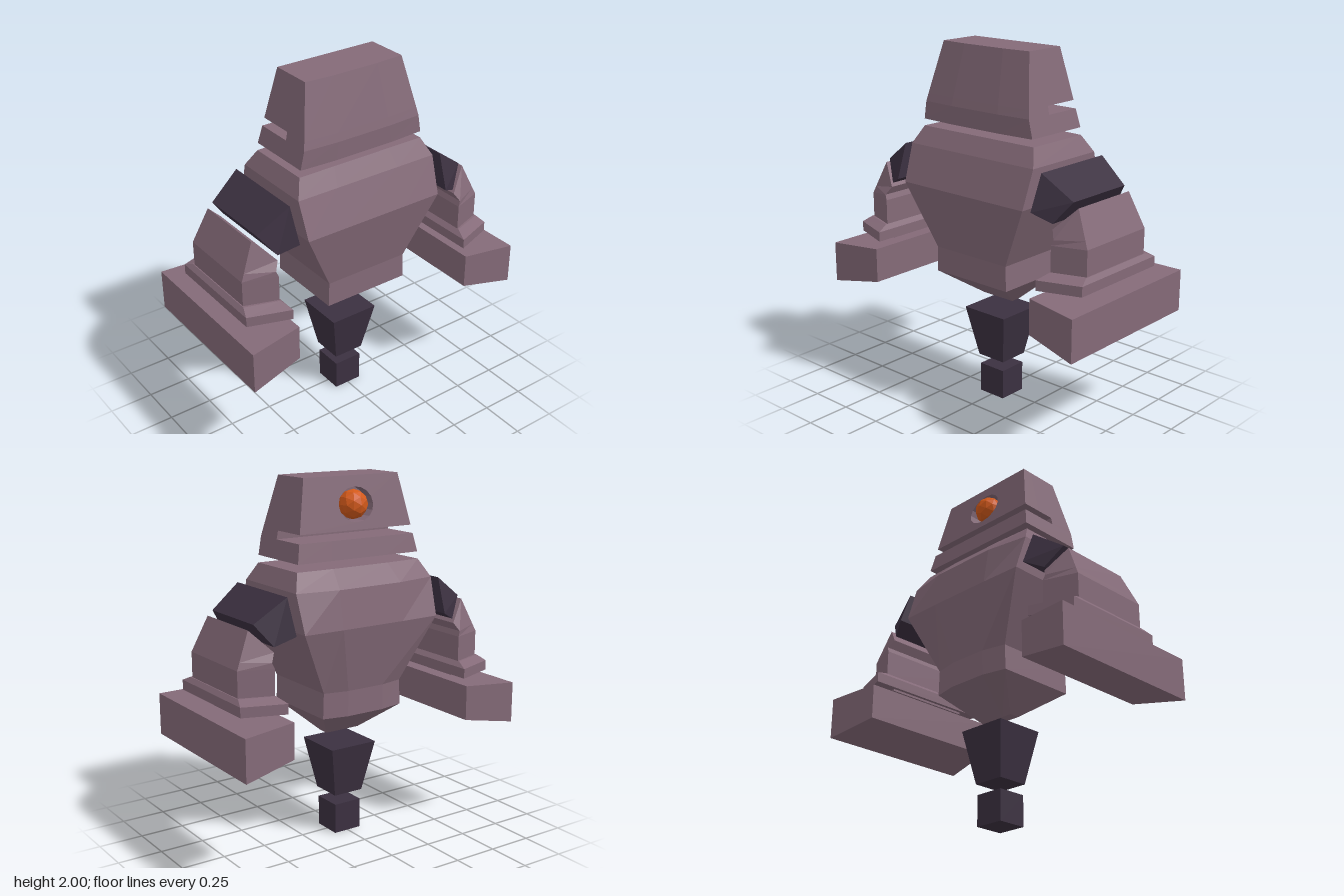
import * as THREE from 'three';

const material = (color) => new THREE.MeshStandardMaterial({ color, flatShading: true });
const stone = material(0x846a78);
const dark = material(0x3b3040);
const orange = material(0xd2591a);

function part(name, geometry, mat) {
  const mesh = new THREE.Mesh(geometry, mat);
  mesh.name = name;
  return mesh;
}

// Closed loft through rings listed bottom to top, each counterclockwise from above
function loft(rings) {
  const n = rings[0].length, last = (rings.length - 1) * n, index = [];
  for (let r = 0; r < rings.length - 1; r++) {
    for (let i = 0; i < n; i++) {
      const a = r * n + i, b = r * n + (i + 1) % n;
      index.push(a, b, b + n, a, b + n, a + n);
    }
  }
  for (let i = 1; i < n - 1; i++) {
    index.push(0, i + 1, i, last, last + i, last + i + 1);
  }
  const geometry = new THREE.BufferGeometry();
  geometry.setAttribute('position', new THREE.Float32BufferAttribute(rings.flat(2), 3));
  geometry.setIndex(index);
  geometry.computeVertexNormals();
  return geometry;
}

// Rectangular ring whose back and front edges swell in the middle
function slabRing(y, hx, zBack, zFront, backSwell = 0, frontSwell = 0) {
  const m = hx * 0.45;
  return [
    [hx, y, zFront], [hx, y, zBack], [m, y, zBack - backSwell], [-m, y, zBack - backSwell],
    [-hx, y, zBack], [-hx, y, zFront], [-m, y, zFront + frontSwell], [m, y, zFront + frontSwell],
  ];
}

// Arm ring from an outer and an inner edge, each [x, y, half depth]
function armRing(side, [xo, yo, zo], [xi, yi, zi]) {
  const ring = [[xo, yo, zo], [xo, yo, -zo], [xi, yi, -zi], [xi, yi, zi]];
  return side > 0 ? ring : ring.map(([x, y, z]) => [-x, y, z]).reverse();
}

function createHead() {
  const head = new THREE.Group();
  head.name = 'head';
  const halfWidth = (y) => 0.385 - (y - 1.575) * 0.2;
  const backZ = (y) => -0.115 - (2 - y) * 0.18;
  const ring = (y, zBack, zFront) => slabRing(y, halfWidth(y), zBack, zFront, 0, 0.012);

  head.add(part('jaw', loft([ring(1.575, backZ(1.575), 0.2), ring(1.675, backZ(1.675), 0.204)]), stone));
  head.add(part('jawHinge', loft([ring(1.675, 0.045, 0.204), ring(1.72, 0.045, 0.194)]), stone));
  head.add(part('skull', loft([ring(1.72, -0.06, 0.194), ring(2, -0.06, 0.128)]), stone));

  // Sloping face plate pierced by the eye socket
  const top = halfWidth(2), low = halfWidth(1.72);
  const shape = new THREE.Shape([
    new THREE.Vector2(-low, 1.72), new THREE.Vector2(low, 1.72),
    new THREE.Vector2(top, 2), new THREE.Vector2(-top, 2),
  ]);
  const socket = new THREE.Path();
  socket.absellipse(-0.01, 1.85, 0.11, 0.092, 0, Math.PI * 2, true);
  shape.holes.push(socket);
  const plate = new THREE.ExtrudeGeometry(shape, { depth: 1, bevelEnabled: false, curveSegments: 8 });
  const p = plate.attributes.position;
  for (let i = 0; i < p.count; i++) {
    p.setZ(i, THREE.MathUtils.lerp(backZ(p.getY(i)), -0.06, p.getZ(i)));
  }
  plate.computeVertexNormals();
  head.add(part('facePlate', plate, stone));

  const eye = part('eye', new THREE.IcosahedronGeometry(0.08, 1), orange);
  eye.position.set(-0.015, 1.848, -0.107);
  head.add(eye);
  return head;
}

function createBody() {
  return part('body', loft([
    slabRing(0.585, 0.105, -0.03, 0.03),
    slabRing(0.74, 0.255, -0.22, 0.25, 0.03),
    slabRing(0.88, 0.25, -0.22, 0.25, 0.03),
    slabRing(1.235, 0.425, -0.315, 0.32, 0.005),
    slabRing(1.44, 0.435, -0.25, 0.25, 0.04),
    slabRing(1.535, 0.39, -0.19, 0.195, 0.01),
  ]), stone);
}

function createArm(side) {
  const arm = new THREE.Group();
  arm.name = side > 0 ? 'leftArm' : 'rightArm';
  const add = (name, mat, ...rings) =>
    arm.add(part(name, loft(rings.map(([o, i]) => armRing(side, o, i))), mat));

  add('shoulder', dark,
    [[0.58, 1.19, 0.27], [0.48, 1.24, 0.322]],
    [[0.665, 1.305, 0.212], [0.488, 1.43, 0.25]]);
  add('forearm', stone,
    [[0.78, 0.94, 0.243], [0.6, 0.94, 0.305]],
    [[0.78, 1.09, 0.243], [0.6, 1.09, 0.305]],
    [[0.762, 1.13, 0.236], [0.612, 1.12, 0.3]],
    [[0.695, 1.28, 0.21], [0.585, 1.165, 0.275]]);
  add('cuff', stone,
    [[0.805, 0.87, 0.31], [0.575, 0.87, 0.39]],
    [[0.805, 0.925, 0.31], [0.575, 0.925, 0.39]],
    [[0.785, 0.95, 0.255], [0.6, 0.95, 0.315]]);
  add('wrist', stone,
    [[0.765, 0.858, 0.22], [0.595, 0.858, 0.255]],
    [[0.765, 0.872, 0.22], [0.595, 0.872, 0.255]]);
  add('fist', stone,
    [[0.87, 0.588, 0.47], [0.565, 0.64, 0.425]],
    [[0.87, 0.82, 0.47], [0.565, 0.836, 0.425]]);
  return arm;
}

// Square tapered block on the centre line
function taperedBlock(name, yLow, yHigh, halfLow, halfHigh) {
  return part(name, loft([
    armRing(1, [halfLow, yLow, halfLow], [-halfLow, yLow, halfLow]),
    armRing(1, [halfHigh, yHigh, halfHigh], [-halfHigh, yHigh, halfHigh]),
  ]), dark);
}

export function createModel() {
  const model = new THREE.Group();
  model.name = 'floatingGolem';
  model.add(createHead(), createBody(), createArm(1), createArm(-1));
  model.add(taperedBlock('upperTail', 0.228, 0.52, 0.09, 0.144));
  model.add(taperedBlock('lowerTail', 0, 0.17, 0.084, 0.084));
  return model;
}
